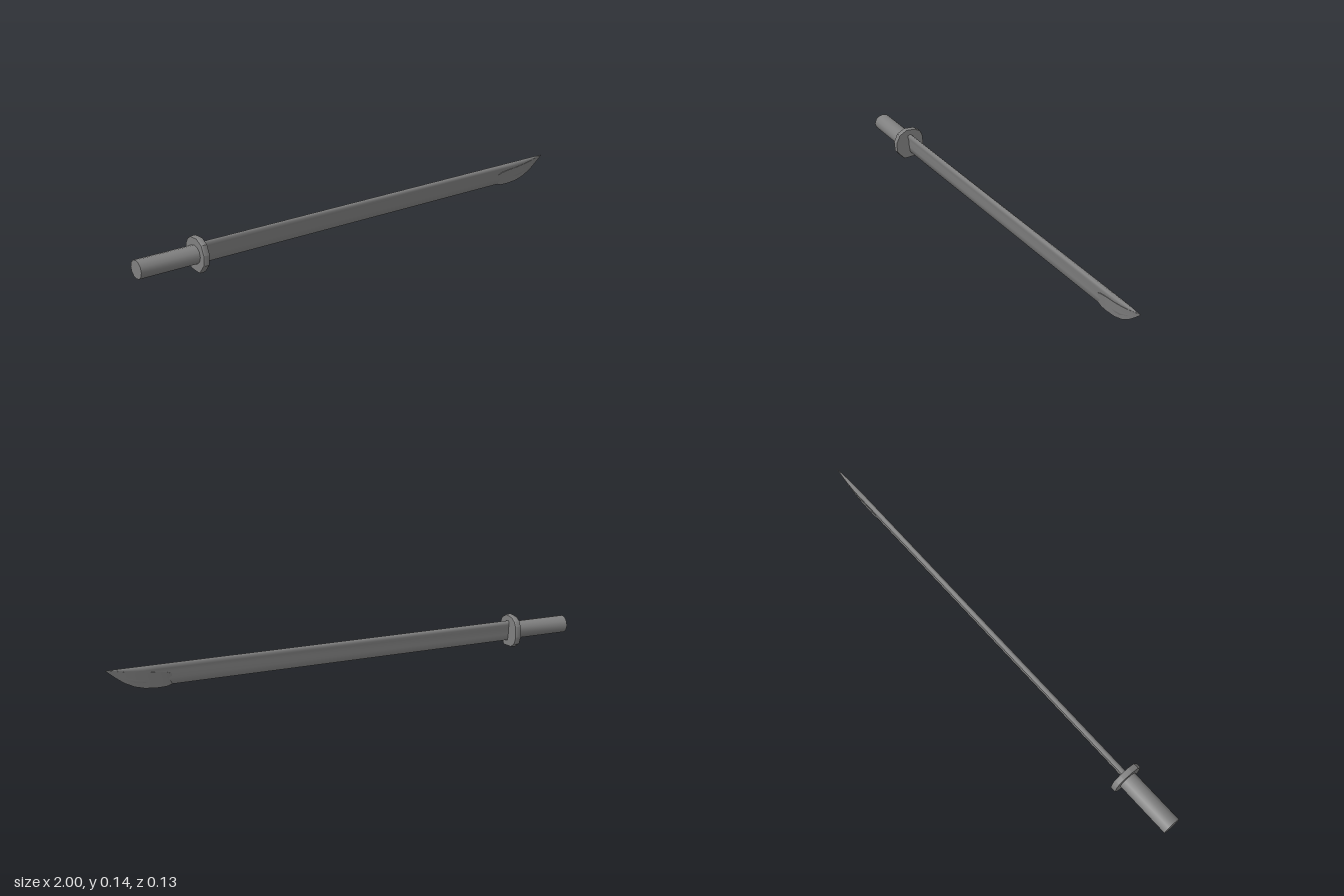
import * as THREE from 'three';
import { toCreasedNormals } from 'three/addons/utils/BufferGeometryUtils.js';

const material = new THREE.MeshStandardMaterial({ color: 0x808080 });

// Skin a series of closed cross-sections running along +x, with capped ends.
function loft(sections) {
  const n = sections[0].length, index = [];
  for (let s = 0; s < sections.length - 1; s++) {
    for (let i = 0; i < n; i++) {
      const a = s * n + i, b = s * n + (i + 1) % n;
      index.push(a, a + n, b, b, a + n, b + n);
    }
  }
  const last = (sections.length - 1) * n;
  for (let i = 1; i < n - 1; i++) {
    index.push(0, i, i + 1);
    index.push(last, last + i + 1, last + i);
  }
  const geometry = new THREE.BufferGeometry();
  geometry.setAttribute('position', new THREE.Float32BufferAttribute(sections.flat(2), 3));
  geometry.setIndex(index);
  geometry.computeVertexNormals();
  return geometry;
}

// Blade section: spine, thick rib, hollow flanks and sharp lower edge.
const SPINE = 0.111;
const flank = [[0.005, 0.009], [0.017, 0.009], [0.031, 0.0055], [0.058, 0.0045]]; // depth, half width
function bladeSection(x, height, width) {
  const at = (depth, z) => [x, SPINE - depth * height, z * width];
  return [
    at(0, 0),
    ...flank.map(([d, z]) => at(d, -z)),
    at(0.084, 0),
    ...flank.map(([d, z]) => at(d, z)).reverse(),
  ];
}

export function createModel() {
  const group = new THREE.Group();
  const add = (name, geometry) => {
    const mesh = new THREE.Mesh(geometry, material);
    mesh.name = name;
    group.add(mesh);
  };

  // Slightly oval grip
  const grip = new THREE.CylinderGeometry(0.038, 0.038, 0.25, 12);
  grip.rotateZ(-Math.PI / 2).scale(1, 0.96, 1.04).translate(-0.875, 0.068, 0);
  add('grip', toCreasedNormals(grip, 0.7));

  // Irregular hand guard with softened rim; outline given as z, y
  const outline = [
    [0.016, 0.135], [-0.027, 0.132], [-0.05, 0.118], [-0.062, 0.097],
    [-0.066, 0.052], [-0.054, 0.02], [-0.027, 0.003], [0.027, 0],
    [0.039, 0.01], [0.064, 0.04], [0.067, 0.081], [0.05, 0.117],
  ];
  const ring = (x, k) => outline.map(([z, y]) => [x, 0.068 + (y - 0.068) * k, z * k]);
  add('guard', toCreasedNormals(
    loft([ring(-0.756, 0.97), ring(-0.752, 1), ring(-0.735, 1), ring(-0.731, 0.97)]), 0.6));

  // Long smooth blade, closing up towards the spine at the point: x, height, width
  const bladeStations = [
    [-0.74, 1, 1], [0.8, 1, 1], [0.85, 1, 1], [0.89, 0.88, 0.9],
    [0.93, 0.64, 0.7], [0.965, 0.34, 0.4], [1, 0.01, 0.03],
  ];
  add('blade', loft(bladeStations.map((s) => bladeSection(...s))));

  // Raised cutting facet around the point: x, ridge, edge, half thickness
  const facetStations = [
    [0.745, 0.07, 0.026, 0.006],
    [0.765, 0.078, 0.02, 0.0085],
    [0.8, 0.083, 0.019, 0.009],
    [0.85, 0.087, 0.023, 0.009],
    [0.89, 0.092, 0.034, 0.0085],
    [0.93, 0.098, 0.054, 0.0067],
    [0.965, 0.105, 0.08, 0.004],
    [1, 0.1107, 0.1095, 0.0004],
  ];
  const facet = loft(facetStations.map(([x, ridge, edge, w]) => [
    [x, ridge + 0.0003, 0], [x, ridge, -w], [x, edge, 0], [x, ridge, w],
  ]));
  add('pointFacet', toCreasedNormals(facet, 0.4));

  return group;
}
